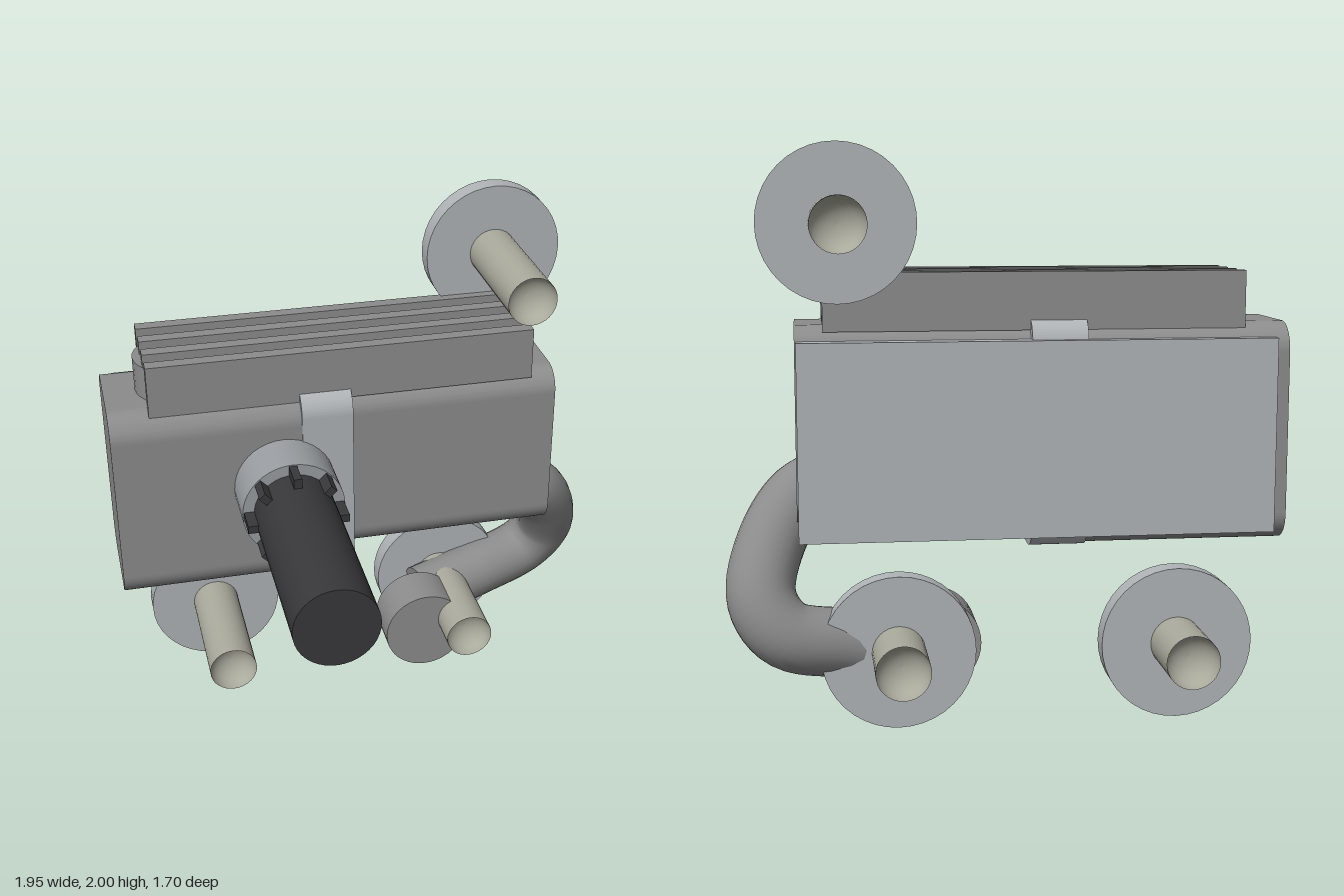
import * as THREE from 'three';

const paint = (color) => new THREE.MeshStandardMaterial({ color });

export function createModel() {
  const root = new THREE.Group();
  const grey = paint(0x8c8c8c);
  const light = paint(0xb0b4b7);
  const collarGrey = paint(0x9a9ea2);
  const black = paint(0x38383a);
  const beige = paint(0xa9a99c);

  function add(name, geometry, material, x = 0, y = 0, z = 0, parent = root) {
    const mesh = new THREE.Mesh(geometry, material);
    mesh.name = name;
    mesh.position.set(x, y, z);
    parent.add(mesh);
    return mesh;
  }

  // Box between two corners
  function box(name, material, x0, x1, y0, y1, z0, z1, parent = root) {
    const geometry = new THREE.BoxGeometry(x1 - x0, y1 - y0, z1 - z0);
    return add(name, geometry, material, (x0 + x1) / 2, (y0 + y1) / 2, (z0 + z1) / 2, parent);
  }

  // Rounded section in the z-y plane, extruded along x
  function roundedBlock(name, material, x0, x1, y0, y1, z0, z1, r) {
    const a = -z1, b = -z0;
    const s = new THREE.Shape();
    s.moveTo(a + r, y0);
    s.lineTo(b - r, y0);
    s.absarc(b - r, y0 + r, r, -Math.PI / 2, 0);
    s.absarc(b - r, y1 - r, r, 0, Math.PI / 2);
    s.absarc(a + r, y1 - r, r, Math.PI / 2, Math.PI);
    s.absarc(a + r, y0 + r, r, Math.PI, Math.PI * 1.5);
    const geometry = new THREE.ExtrudeGeometry(s, { depth: x1 - x0, bevelEnabled: false, curveSegments: 8 });
    geometry.rotateY(Math.PI / 2);
    return add(name, geometry, material, x0);
  }

  // Cylinder along z between two depths
  function rod(name, material, r, x, y, z0, z1, parent = root, sides = 40) {
    const geometry = new THREE.CylinderGeometry(r, r, z1 - z0, sides).rotateX(Math.PI / 2);
    return add(name, geometry, material, x, y, (z0 + z1) / 2, parent);
  }

  // Housing, strap and back plate
  roundedBlock('rearHousing', grey, -0.98, -0.08, 0.618, 1.39, -0.585, -0.105, 0.1);
  roundedBlock('frontHousing', grey, -0.09, 0.725, 0.71, 1.39, -0.56, -0.13, 0.09);
  roundedBlock('strap', light, -0.272, -0.078, 0.612, 1.42, -0.59, -0.1, 0.1);
  box('backPlate', light, -0.93, 0.72, 0.66, 1.34, -0.615, -0.53);

  // Cooling fins with two round mounts between them
  for (let i = 0; i < 4; i++) {
    const z = -0.17 - i * 0.116;
    box('coolingFin', grey, -0.83, 0.63, 1.37, 1.57, z - 0.026, z + 0.026);
  }
  for (const [x, r] of [[-0.69, 0.17], [0.24, 0.155]]) {
    add('finMount', new THREE.CylinderGeometry(r, r, 0.16, 32), grey, x, 1.44, -0.355);
  }

  // Handle with collar and radial teeth
  const handle = new THREE.Group();
  handle.name = 'handle';
  handle.position.set(-0.345, 1.05, 0);
  root.add(handle);
  rod('collar', collarGrey, 0.192, 0, 0, -0.2, 0.09, handle);
  rod('grip', black, 0.15, 0, 0, 0.08, 0.85, handle);
  for (let i = 0; i < 8; i++) {
    const angle = i * Math.PI / 4;
    const tooth = box('tooth', black, -0.03, 0.03, -0.015, 0.015, 0.085, 0.19, handle);
    tooth.position.x = 0.157 * Math.cos(angle);
    tooth.position.y = 0.157 * Math.sin(angle);
    tooth.rotation.z = angle;
  }

  // Rollers: flange on a rod with dished ends
  const half = 0.41, rodR = 0.093, dish = 0.08;
  const profile = (end) => {
    const points = [];
    for (let i = 0; i <= 8; i++) {
      const t = i * Math.PI / 16;
      points.push(new THREE.Vector2(rodR * Math.sin(t), end * (half - dish * Math.cos(t))));
    }
    return end < 0 ? points : points.reverse();
  };
  const side = [new THREE.Vector2(rodR, -half), new THREE.Vector2(rodR, half)];
  for (const [x, y] of [[0.58, 1.735], [-0.59, 0.27], [0.385, 0.27]]) {
    const roller = new THREE.Group();
    roller.name = 'roller';
    roller.position.set(x, y, -0.44);
    root.add(roller);
    for (const [name, points] of [['rodSide', side], ['rodDish', profile(-1)], ['rodDish', profile(1)]]) {
      add(name, new THREE.LatheGeometry(points, 32).rotateX(Math.PI / 2), beige, 0, 0, 0, roller);
    }
    rod('flange', light, 0.267, 0, 0, -0.17, -0.09, roller);
  }

  // Bent pipe and its end disc
  const path = new THREE.CatmullRomCurve3([
    [0.58, 0.84, -0.32], [0.72, 0.77, -0.345], [0.82, 0.62, -0.43], [0.85, 0.45, -0.52],
    [0.77, 0.335, -0.55], [0.55, 0.28, -0.5], [0.28, 0.235, -0.43],
  ].map((p) => new THREE.Vector3(...p)));
  const pipe = add('pipe', new THREE.TubeGeometry(path, 48, 0.12, 24), grey);
  pipe.material = grey.clone();
  pipe.material.side = THREE.DoubleSide;
  const cap = add('pipeCap', new THREE.CircleGeometry(0.12, 24), pipe.material);
  cap.position.copy(path.getPoint(1));
  cap.lookAt(cap.position.clone().add(path.getTangent(1)));
  rod('pipeEndDisc', grey, 0.168, 0.24, 0.222, -0.365, -0.175);

  return root;
}
